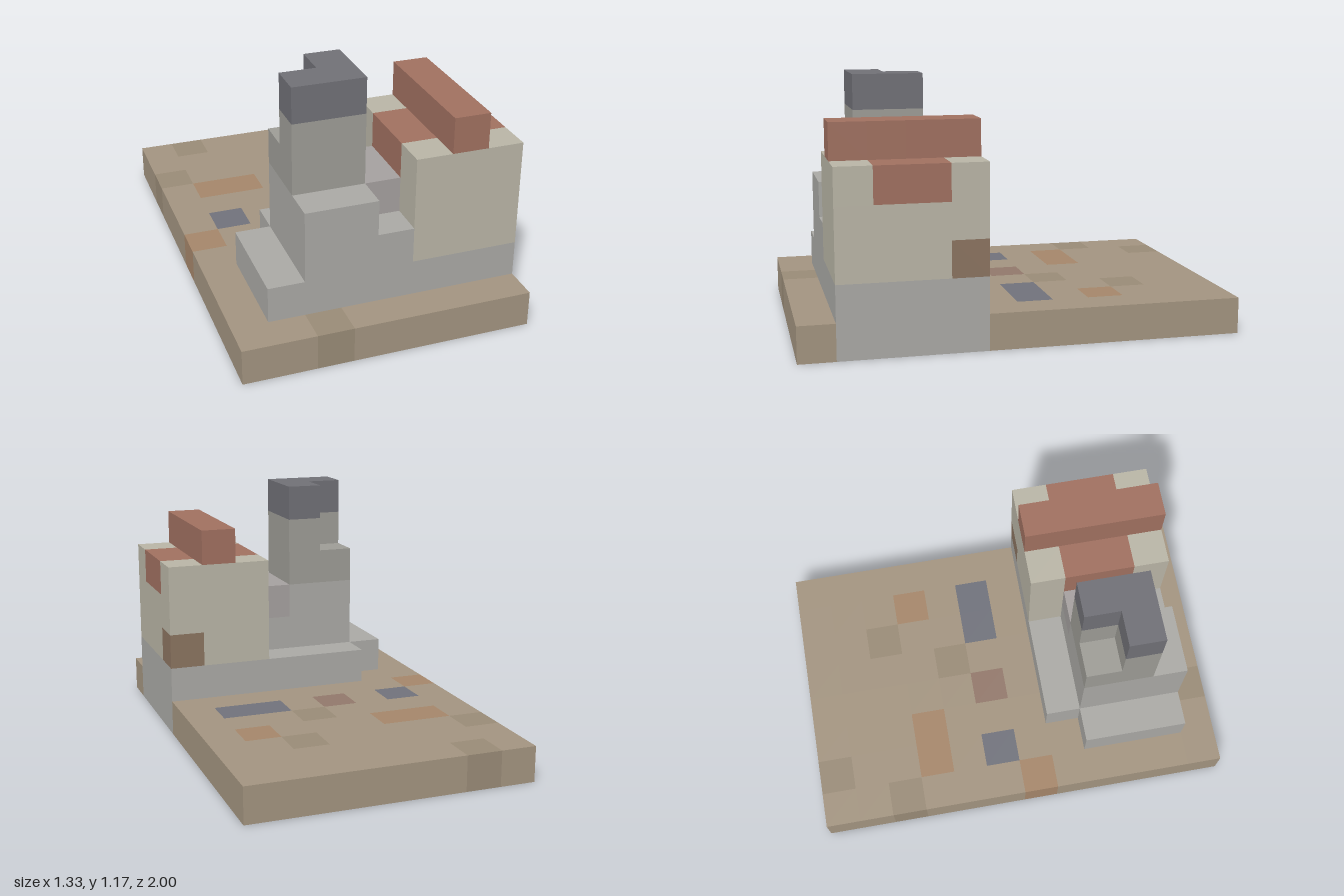
import * as THREE from 'three';

// One block is a sixth of a unit; everything below counts in blocks.
const U = 1 / 6;

const COLORS = {
  ground: 0xa39480, darkSoil: 0x998b77, clayPatch: 0xa5866a, slatePatch: 0x70727b, rustPatch: 0x92786b,
  foundation: 0xaaa9a5, tower: 0x9d9c96, towerCap: 0x707076, link: 0xa5a09f,
  houseWall: 0xb9b5a6, roof: 0xa07060, window: 0x8b7460,
};

// Coloured ground blocks, as "x,z"
const PATCHES = {
  darkSoil: ['-3,-6', '-4,-4', '1,-4', '0,-2', '-2,5'],
  clayPatch: ['-3,-3', '-2,-3', '2,-3', '-4,0'],
  slatePatch: ['-3,-1', '1,-1', '2,-1'],
  rustPatch: ['-1,-1'],
};

const within = (v, a, b) => v >= a && v < b;

// Height of the column at x, z
function heightAt(x, z) {
  if (!within(x, -4, 4) || !within(z, -6, 6)) return 0;
  if (x < -3 || !within(z, 1, 5)) return 1;         // ground
  const middle = within(z, 2, 4);
  if (x >= 1) return x === 2 ? 6 : 5;               // house, ridge along z
  if (x === -3) return z === 1 ? 1 : 2;             // side step
  if (z === 1) return 2;                            // rear step
  if (x === 0) return middle ? 4 : 3;               // link with a front notch
  if (!middle) return 4;                            // tower foot
  return x === -2 && z === 2 ? 5 : 7;               // tower with a lowered corner
}

// Part that the block at x, y, z belongs to
function partAt(x, y, z) {
  const house = x >= 1 && within(z, 1, 5);
  if (y === 0 && !house) {
    const patch = Object.keys(PATCHES).find((name) => PATCHES[name].includes(`${x},${z}`));
    return patch ?? 'ground';
  }
  if (house) {
    if (y < 2) return 'foundation';
    if (y === 5 || (y === 4 && within(z, 2, 4))) return 'roof';
    return x === 3 && y === 2 && z === 1 ? 'window' : 'houseWall';
  }
  if (y === 6) return 'towerCap';
  if (y >= 4) return 'tower';
  return x === 0 && y === 3 ? 'link' : 'foundation';
}

// Face directions: normal n with tangents u, v so that u x v = n
const X = [1, 0, 0], Y = [0, 1, 0], Z = [0, 0, 1];
const TOP = { n: Y, u: Z, v: X };
const SIDES = [
  { n: X, u: Y, v: Z },
  { n: [-1, 0, 0], u: Z, v: Y },
  { n: Z, u: X, v: Y },
  { n: [0, 0, -1], u: Y, v: X },
];

// Adds one block face as two triangles
function addFace(list, block, { n, u, v }) {
  const corner = (a, b) => block.map((c, i) => (c + 0.5 + (n[i] + a * u[i] + b * v[i]) / 2) * U);
  const [p, q, r, s] = [corner(-1, -1), corner(1, -1), corner(1, 1), corner(-1, 1)];
  list.push(...p, ...q, ...r, ...p, ...r, ...s);
}

export function createModel() {
  const group = new THREE.Group();
  group.name = 'blockBuilding';
  const faces = {};
  const add = (x, y, z, dir) => addFace(faces[partAt(x, y, z)] ??= [], [x, y, z], dir);

  // Hollow shell, open underneath: exposed tops and sides only
  for (let x = -4; x < 4; x++) {
    for (let z = -6; z < 6; z++) {
      const h = heightAt(x, z);
      add(x, h - 1, z, TOP);
      for (const dir of SIDES) {
        for (let y = heightAt(x + dir.n[0], z + dir.n[2]); y < h; y++) add(x, y, z, dir);
      }
    }
  }

  // One mesh per part
  for (const [name, positions] of Object.entries(faces)) {
    const geometry = new THREE.BufferGeometry();
    geometry.setAttribute('position', new THREE.Float32BufferAttribute(positions, 3));
    geometry.computeVertexNormals();
    const material = new THREE.MeshStandardMaterial({ color: COLORS[name], side: THREE.DoubleSide });
    const mesh = new THREE.Mesh(geometry, material);
    mesh.name = name;
    group.add(mesh);
  }
  return group;
}
